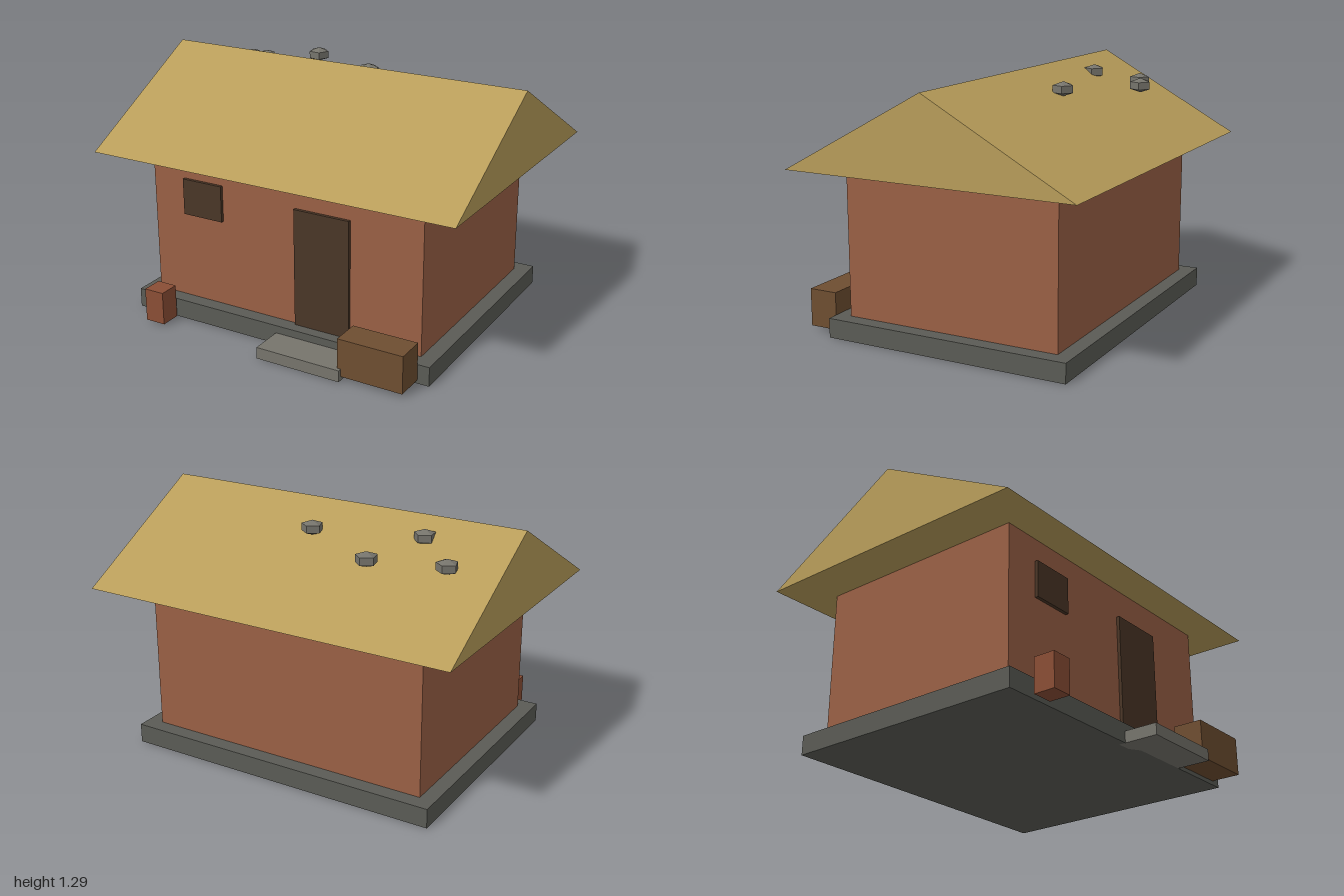
import * as THREE from 'three';

const material = (color) => new THREE.MeshStandardMaterial({ color, flatShading: true });

// Box given by its extents along each axis
function block(name, mat, [x0, x1], [y0, y1], [z0, z1]) {
  const mesh = new THREE.Mesh(new THREE.BoxGeometry(x1 - x0, y1 - y0, z1 - z0), mat);
  mesh.position.set((x0 + x1) / 2, (y0 + y1) / 2, (z0 + z1) / 2);
  mesh.name = name;
  return mesh;
}

export function createModel() {
  const hut = new THREE.Group();
  hut.name = 'hut';

  const foundation = material(0x5a5b55);
  const clay = material(0x9a6045);
  const darkWood = material(0x4a3627);
  const crateWood = material(0x6e4e31);
  const terracotta = material(0x8a4e35);
  const slab = material(0x76746c);
  const thatch = material(0xb89d5a);
  const stone = material(0x76746c);

  // Foundation, walls, openings and the things by the door
  hut.add(
    block('foundation', foundation, [-0.85, 0.845], [0, 0.1], [-0.68, 0.625]),
    block('walls', clay, [-0.77, 0.765], [0.1, 0.87], [-0.6, 0.55]),
    block('door', darkWood, [0.075, 0.38], [0.1, 0.715], [0.54, 0.567]),
    block('window', darkWood, [-0.58, -0.35], [0.56, 0.75], [0.54, 0.567]),
    block('doorStep', slab, [0, 0.46], [0, 0.06], [0.59, 0.8]),
    block('crate', crateWood, [0.44, 0.785], [0.02, 0.215], [0.627, 0.78]),
    block('smallBox', terracotta, [-0.71, -0.6], [0.01, 0.185], [0.645, 0.755]),
  );

  // Solid gable roof: triangle in z/y extruded along x
  const gable = new THREE.Shape([
    new THREE.Vector2(-0.735, 0.87),
    new THREE.Vector2(0.8, 0.87),
    new THREE.Vector2(0.03, 1.29),
  ]);
  const roofGeometry = new THREE.ExtrudeGeometry(gable, { depth: 2, bevelEnabled: false });
  roofGeometry.translate(0, 0, -1).rotateY(Math.PI / 2);
  const roof = new THREE.Mesh(roofGeometry, thatch);
  roof.name = 'roof';
  hut.add(roof);

  // Five-sided stones weighing down the back slope
  const stoneGeometry = new THREE.SphereGeometry(0.0625, 5, 3);
  stoneGeometry.scale(1, 0.6, 1);
  const stones = [
    [-0.41, 1.183, -0.49, -0.1],
    [-0.75, 1.163, -0.345, 0],
    [-0.54, 1.223, -0.165, -0.15],
    [0.03, 1.203, -0.257, 0],
  ];
  stones.forEach(([x, y, z, turn], i) => {
    const mesh = new THREE.Mesh(stoneGeometry, stone);
    mesh.position.set(x, y, z);
    mesh.rotation.y = -Math.PI / 2 + turn;
    mesh.name = `roofStone${i + 1}`;
    hut.add(mesh);
  });

  return hut;
}
